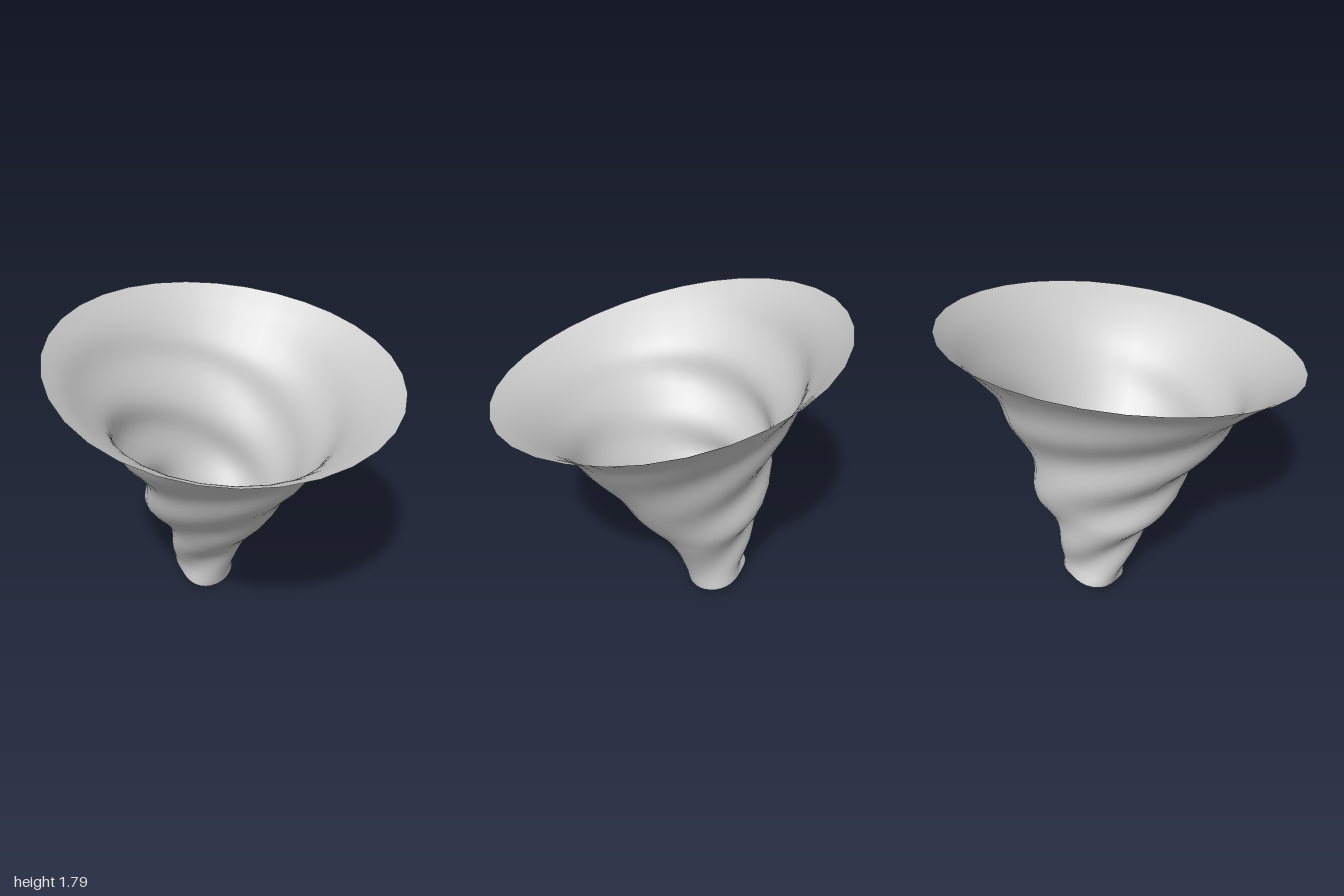
import * as THREE from 'three';
import { mergeVertices } from 'three/addons/utils/BufferGeometryUtils.js';

const { smoothstep, degToRad, clamp } = THREE.MathUtils;
const TILT = degToRad(13.4);

// Spine of the funnel: [radius, centre height, centre z] for each ring, bottom to top
const RINGS = [
  [0.185, 0.05, -0.325], [0.185, 0.15, -0.305], [0.225, 0.30, -0.285], [0.29, 0.45, -0.25],
  [0.375, 0.60, -0.22], [0.45, 0.80, -0.155], [0.55, 1.00, -0.105], [0.66, 1.20, -0.08],
  [0.77, 1.35, -0.055], [0.88, 1.46, -0.025], [1.00, 1.55, 0.0],
];

// Open, tilted funnel whose wall carries three twisting lobes
function funnelGeometry() {
  const spine = new THREE.CatmullRomCurve3(RINGS.map((p) => new THREE.Vector3(...p)));
  const geo = new THREE.CylinderGeometry(1, 1, 1, 32, 48, true);
  const pos = geo.attributes.position;
  const ring = new THREE.Vector3();
  for (let i = 0; i < pos.count; i++) {
    const t = clamp(pos.getY(i) + 0.5, 0, 1);
    const angle = Math.atan2(pos.getZ(i), pos.getX(i));
    spine.getPoint(t, ring);
    // lobes wind around the wall, deepest at the back left, and fade out at the rim
    const twist = degToRad(285) * (ring.y - 0.05);
    const rim = smoothstep(ring.y, 1.15, 1.55);
    const depthOfLobe = 0.62 - 0.35 * Math.cos(angle - Math.PI / 4);
    const amp = (0.02 + 0.01 * Math.min(1, ring.y / 0.6)) * depthOfLobe * (1 - rim);
    const r = ring.x + amp * Math.cos(3 * (angle + twist) + 0.26);
    const depth = r * Math.sin(angle);
    // each ring leans forward: the front dips and the back rises, with a slight warp at the rim
    const lean = TILT + 0.08 * (1 - Math.min(1, ring.y / 0.3));
    const warp = 0.016 * rim * Math.sin(2 * angle);
    pos.setXYZ(i, r * Math.cos(angle), ring.y - depth * Math.sin(lean) + warp, ring.z + depth * Math.cos(lean));
  }
  // weld the seam so the shading runs smoothly all the way round
  geo.deleteAttribute('uv');
  geo.deleteAttribute('normal');
  const welded = mergeVertices(geo, 1e-4);
  welded.computeVertexNormals();
  return welded;
}

export function createModel() {
  const model = new THREE.Group();
  model.name = 'twister';
  const material = new THREE.MeshStandardMaterial({ color: 0xcccccc, side: THREE.DoubleSide });
  const funnel = new THREE.Mesh(funnelGeometry(), material);
  funnel.name = 'funnel';
  model.add(funnel);
  return model;
}
